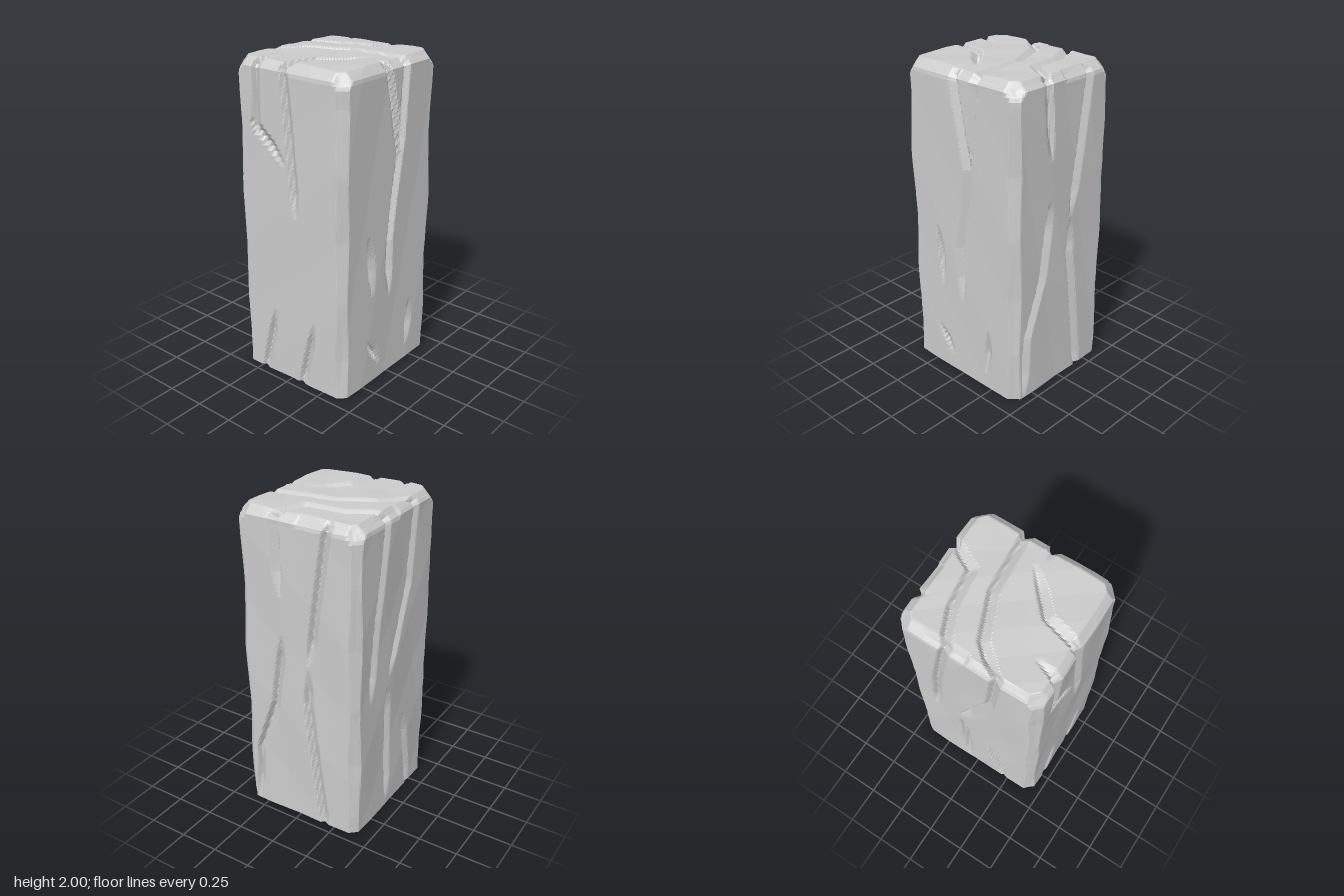
import * as THREE from 'three';

const W = 0.45, D = 0.41, H = 2; // half width, half depth, height
const R = 0.09;                  // size of the worn edges

// Points on each face of the block, given in that face's own two coordinates.
const front = (...p) => p.map(([x, y]) => new THREE.Vector3(x, y, D));
const back = (...p) => p.map(([x, y]) => new THREE.Vector3(x, y, -D));
const leftSide = (...p) => p.map(([z, y]) => new THREE.Vector3(W, y, z));
const rightSide = (...p) => p.map(([z, y]) => new THREE.Vector3(-W, y, z));
const top = (...p) => p.map(([x, z]) => new THREE.Vector3(x, H, z));

// Long cracks that run over the top from face to face.
const longCracks = () => [
  [...front([0.09, 1.36]), ...top([0.15, D], [0.11, 0], [0, -0.26], [-0.17, -D]),
    ...back([-0.12, 1.5], [0.09, 0.97])],
  [...leftSide([0.1, 1.5]), ...top([W, 0.13], [0.27, 0.04], [0.24, -0.18], [0.14, -D]),
    ...back([0.24, 1.39], [0.285, 0.87])],
  [...top([0.01, 0.25], [-0.21, 0.02], [-W, -0.04]), ...rightSide([0.05, 1.1])],
  [...top([-0.28, -0.19], [-W, -0.24]), ...rightSide([-0.25, 1.6], [-0.02, 1.4])],
  [...front([0.015, 0.54], [0.01, 0.9], [0.09, 1.42], [-0.03, H]), ...top([-0.04, 0.3])],
  [...top([0.36, -0.19]), ...leftSide([-0.2, H], [-0.11, 1.4], [-0.07, 1.1])],
];

// Short cracks that stay on one face.
const shortCracks = () => [
  front([-0.21, 1], [-0.165, 0.6]),
  front([-0.22, 0.3], [-0.08, 0.1]),
  front([0.22, 0.42], [0.2, 0.1]),
  leftSide([-0.07, 1.08], [-0.06, 0.85], [-0.18, -0.1]),
  leftSide([0.11, 1.25], [0.18, 0.77], [0.31, 0.4], [0.33, 0]),
  back([0.1, 0.9], [0.07, 0.05]),
  back([-0.1, 0.6], [-0.22, -0.05]),
  rightSide([-0.13, 0.45], [-0.26, -0.1]),
  rightSide([0.18, 0.45], [0.05, -0.08]),
];

// Split every crack into segments with the running length, so the ends can taper.
const segments = [...longCracks(), ...shortCracks()].flatMap(points => {
  let run = 0;
  const list = points.slice(1).map((b, i) => {
    const a = points[i], length = a.distanceTo(b), start = run;
    run += length;
    return { a, length, start, dir: b.clone().sub(a).divideScalar(length) };
  });
  list.forEach(s => { s.total = run; });
  return list;
});

const DEPTH = 0.036, STEEP = 0.018, GENTLE = 0.05, TAPER = 0.16;
const offset = new THREE.Vector3(), across = new THREE.Vector3();

// Depth of the cracks at a surface point: steep on one flank, gentle on the other.
function crackDepth(p, normal) {
  let depth = 0;
  for (const s of segments) {
    offset.subVectors(p, s.a);
    const t = THREE.MathUtils.clamp(offset.dot(s.dir), 0, s.length);
    offset.addScaledVector(s.dir, -t);
    const distance = offset.length();
    if (distance > GENTLE) continue;
    const side = across.crossVectors(normal, s.dir).dot(offset);
    const along = s.start + t;
    const taper = Math.min(1, along / TAPER, (s.total - along) / TAPER);
    const width = (side > 0 ? GENTLE : STEEP) * (0.5 + 0.5 * taper);
    depth = Math.max(depth, DEPTH * taper * (1 - distance / width));
  }
  return depth;
}

// Triangle wave from 0 to 1: broad flat facets with soft ridges.
const wave = t => Math.abs(2 * (t - Math.floor(t)) - 1);

function createBlock() {
  const geometry = new THREE.BoxGeometry(W * 2, H, D * 2, 76, 80, 70);
  geometry.translate(0, H / 2, 0);
  const position = geometry.attributes.position;
  const p = new THREE.Vector3(), core = new THREE.Vector3(), d = new THREE.Vector3(), n = new THREE.Vector3();
  const coreMin = new THREE.Vector3(R - W, 0, R - D), coreMax = new THREE.Vector3(W - R, H - R, D - R);
  for (let i = 0; i < position.count; i++) {
    p.fromBufferAttribute(position, i);
    core.copy(p).clamp(coreMin, coreMax);
    d.subVectors(p, core);
    n.copy(d).divideScalar(R);
    const ax = Math.abs(d.x), ay = Math.abs(d.y), az = Math.abs(d.z);
    const sum = ax + ay + az, max = Math.max(ax, ay, az);

    // uneven flat chamfer on the upright and top edges; the foot stays sharp
    const cut = 1.3 + 0.2 * wave(p.y * 1.3 + Math.sign(p.x) * 0.21 + Math.sign(p.z) * 0.37);
    if (sum > cut * max) d.multiplyScalar(cut * max / sum);

    // hewn unevenness, then the cracks
    const rough = 0.006 * (wave(p.y * 1.1 + p.x * 1.7 - p.z * 0.9) + wave(p.x * 2.1 + p.z * 2.6 - p.y * 0.5));
    const push = rough + crackDepth(p, n);
    n.divideScalar(Math.max(1, n.length()));
    p.addVectors(core, d).addScaledVector(n, -push);
    position.setXYZ(i, p.x, p.y, p.z);
  }
  const flat = geometry.toNonIndexed();
  flat.computeVertexNormals();
  return flat;
}

export function createModel() {
  const group = new THREE.Group();
  group.name = 'crackedPillar';
  const material = new THREE.MeshStandardMaterial({ color: 0xcccccc, flatShading: true });
  const block = new THREE.Mesh(createBlock(), material);
  block.name = 'crackedBlock';
  group.add(block);
  return group;
}
